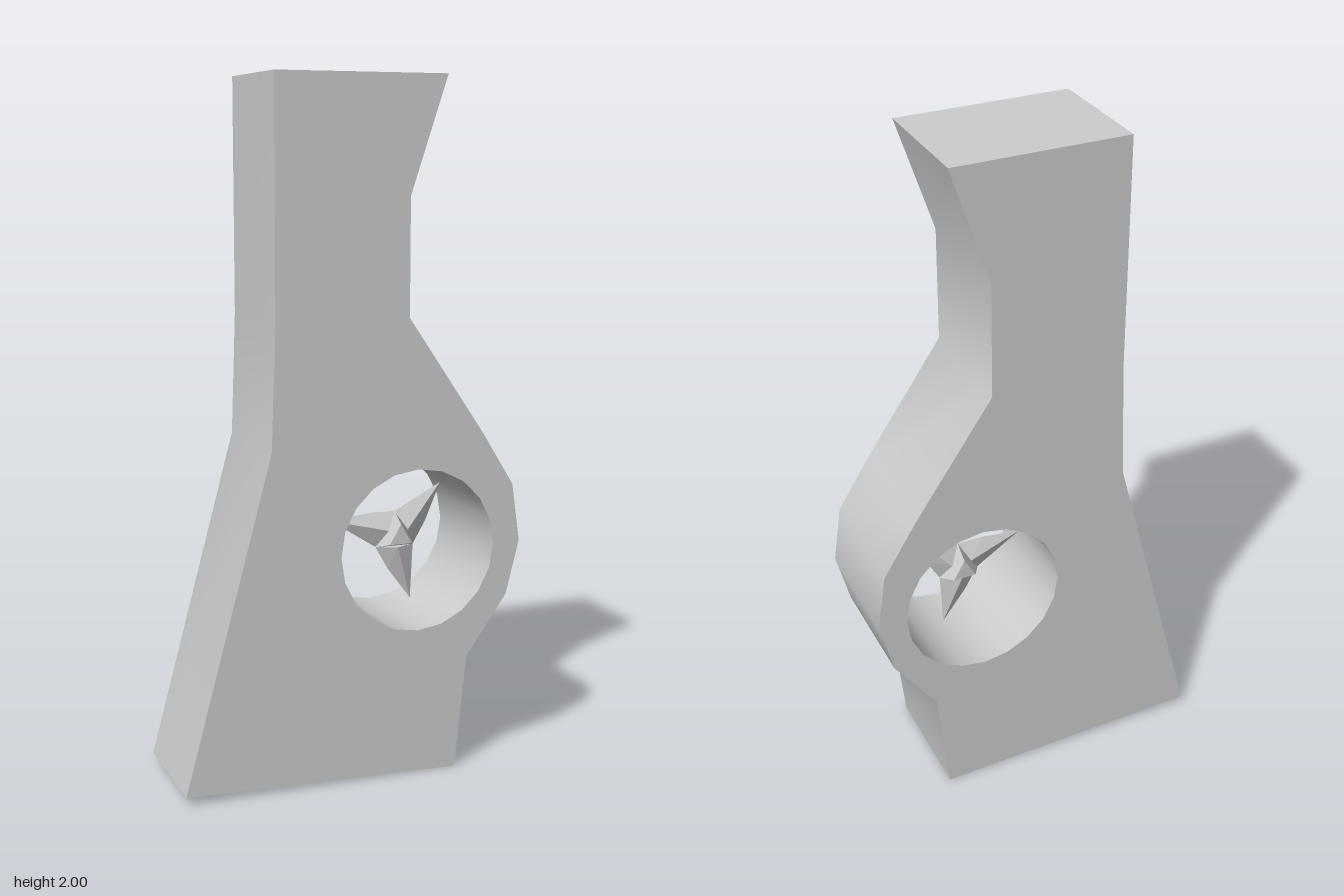
import * as THREE from 'three';
import { toCreasedNormals } from 'three/addons/utils/BufferGeometryUtils.js';
import { ConvexGeometry } from 'three/addons/geometries/ConvexGeometry.js';

const HALF_DEPTH = 0.18;
const HUB = new THREE.Vector3(0.19, 0.675, 0);

export function createModel() {
  const model = new THREE.Group();
  model.name = 'housingWithRotor';
  const smooth = new THREE.MeshStandardMaterial({ color: 0xcccccc });
  const faceted = new THREE.MeshStandardMaterial({ color: 0xcccccc, flatShading: true });

  // Housing: curved side outline, pierced by a round opening
  const outline = [
    [-0.51, 0.025], [0.31, 0], [0.345, 0.335], [0.47, 0.51], [0.51, 0.67],
    [0.485, 0.84], [0.385, 1.0], [0.155, 1.335], [0.155, 1.67], [0.265, 2],
    [-0.24, 2], [-0.24, 1.33], [-0.253, 0.98],
  ];
  const shape = new THREE.Shape(outline.map(([x, y]) => new THREE.Vector2(x, y)));
  const rim = [];
  for (let i = 0; i < 20; i++) {
    const a = -i / 20 * Math.PI * 2;
    rim.push(new THREE.Vector2(0.188 + 0.237 * Math.cos(a), 0.667 + 0.237 * Math.sin(a)));
  }
  shape.holes.push(new THREE.Path(rim));
  const body = new THREE.ExtrudeGeometry(shape, { depth: 2 * HALF_DEPTH, bevelEnabled: false });
  body.translate(0, 0, -HALF_DEPTH);
  const housing = new THREE.Mesh(toCreasedNormals(body, 0.9), smooth);
  housing.name = 'housing';
  model.add(housing);

  // Rotor floating in the opening
  const rotor = new THREE.Group();
  rotor.name = 'rotor';
  rotor.position.copy(HUB);
  model.add(rotor);

  // Hub: triangular, tapering towards both ends
  const hubPoints = [];
  for (const [radius, z] of [[0.04, 0.05], [0.072, 0], [0.04, -0.05]]) {
    for (let i = 0; i < 3; i++) {
      const a = Math.PI / 2 + i * Math.PI * 2 / 3;
      hubPoints.push(new THREE.Vector3(radius * Math.cos(a), radius * Math.sin(a), z));
    }
  }
  const hub = new THREE.Mesh(new ConvexGeometry(hubPoints), faceted);
  hub.name = 'hub';
  rotor.add(hub);

  // Three swept, pointed blades, thickest at the root
  const bladeGeometry = new ConvexGeometry([
    [0, 0.07, 0], [-0.06, -0.035, 0], [-0.08, 0.07, 0], [-0.2, 0.055, 0],
    [-0.03, 0.018, 0.03], [-0.03, 0.018, -0.03],
  ].map((p) => new THREE.Vector3(...p)));
  for (let i = 0; i < 3; i++) {
    const blade = new THREE.Mesh(bladeGeometry, faceted);
    blade.name = `blade${i + 1}`;
    blade.rotation.z = i * Math.PI * 2 / 3;
    rotor.add(blade);
  }
  return model;
}
